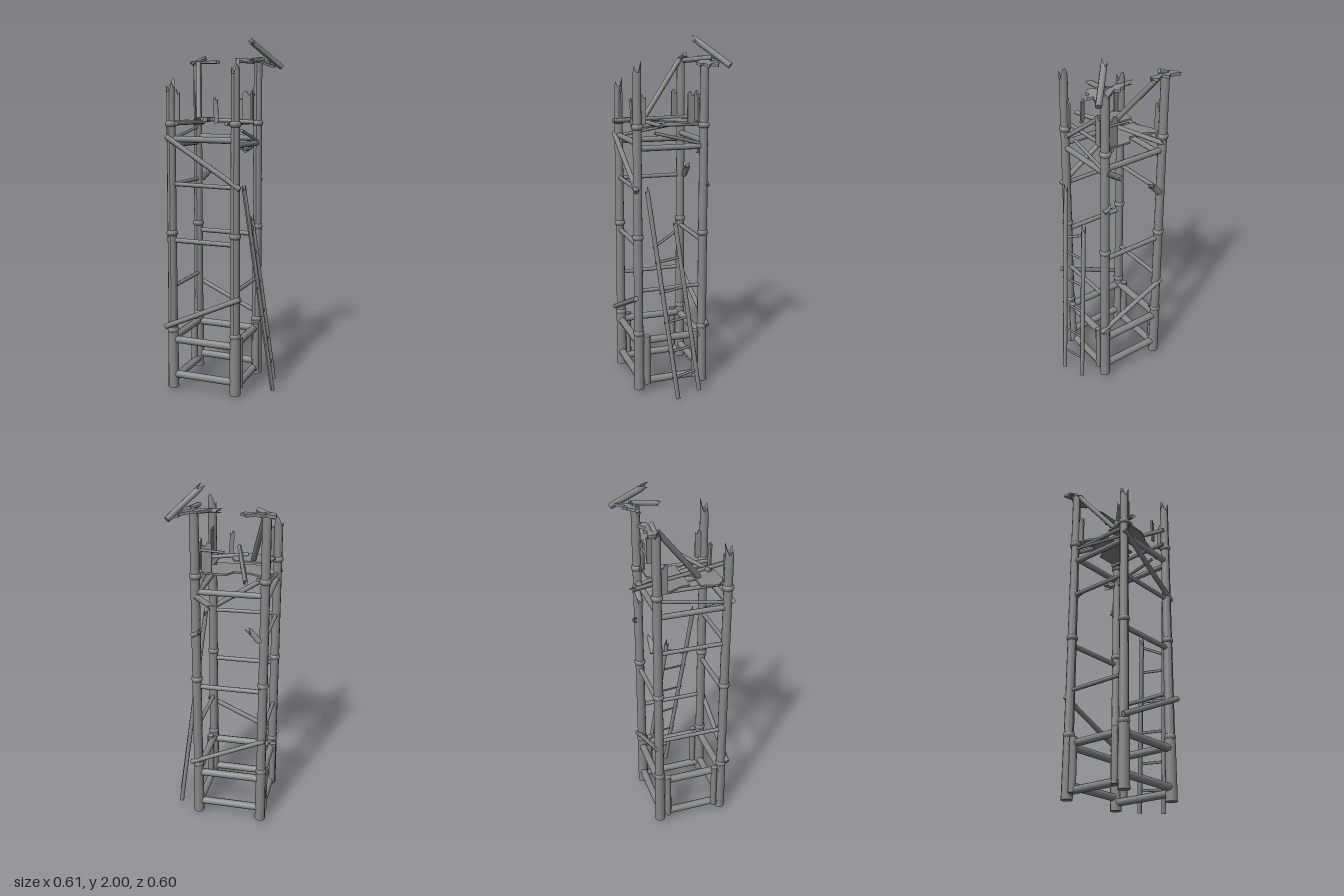
import * as THREE from 'three';

const mat = new THREE.MeshStandardMaterial({ color: 0x888888, side: THREE.DoubleSide });
const V = (p) => new THREE.Vector3(...p);
const UP = new THREE.Vector3(0, 1, 0);

export function createModel() {
  const root = new THREE.Group();

  const add = (name, geo) => {
    const m = new THREE.Mesh(geo, mat);
    m.name = name;
    root.add(m);
    return m;
  };

  // Round pole from a to b; "jag" pulls the end at b into splintered teeth
  const pole = (name, a, b, r, { r2 = r, jag = 0, sides = 8 } = {}) => {
    const d = V(b).sub(V(a)), len = d.length();
    const geo = new THREE.CylinderGeometry(r2, r, len, sides, 1);
    if (jag) {
      const p = geo.attributes.position;
      for (let i = 0; i < p.count; i++) {
        if (p.getY(i) < len / 2 - 1e-4) continue;
        const x = p.getX(i), z = p.getZ(i);
        const k = Math.round((Math.atan2(z, x) / (Math.PI * 2)) * sides + sides) % sides;
        const rim = Math.hypot(x, z) > r2 * 0.5;
        p.setY(i, len / 2 - (rim ? jag * ((k * 5) % 8) / 7 : jag));
      }
      geo.computeVertexNormals();
    }
    const m = add(name, geo);
    m.position.copy(V(a).add(V(b)).multiplyScalar(0.5));
    m.quaternion.setFromUnitVectors(UP, d.normalize());
    return m;
  };

  // Flat plate from an outline of [x, z] points, top surface at y, sloping along x from the first point
  const plate = (name, pts, y, t = 0.01, slope = 0) => {
    const shape = new THREE.Shape(pts.map(([x, z]) => new THREE.Vector2(x, -z)));
    const geo = new THREE.ExtrudeGeometry(shape, { depth: t, bevelEnabled: false });
    geo.rotateX(-Math.PI / 2);
    geo.translate(0, y - t, 0);
    const p = geo.attributes.position;
    for (let i = 0; i < p.count; i++) p.setY(i, p.getY(i) + slope * (p.getX(i) - pts[0][0]));
    geo.computeVertexNormals();
    add(name, geo);
  };

  // Upright board with a splintered top edge
  const board = (name, x, z, w, y0, y1, turn, lean = 0) => {
    const h = y1 - y0;
    const s = new THREE.Shape();
    s.moveTo(-w / 2, 0); s.lineTo(w / 2, 0); s.lineTo(w / 2, h * 0.9);
    s.lineTo(w * 0.2, h * 0.84); s.lineTo(-w * 0.1, h); s.lineTo(-w / 2, h * 0.93);
    const m = add(name, new THREE.ExtrudeGeometry(s, { depth: 0.01, bevelEnabled: false }));
    m.position.set(x, y0, z);
    m.rotation.set(0, turn, lean);
  };

  const XL = -0.25, XR = 0.125, ZF = 0.2, ZB = -0.182;

  // Corner posts with rounded binding rings
  for (const [x, z, top, jag] of [[XL, ZF, 1.77, 0.07], [XR, ZF, 1.87, 0.08], [XL, ZB, 1.89, 0.03], [XR, ZB, 1.9, 0.03]]) {
    pole('cornerPostBase', [x, 0.02, z], [x, 0.36, z], 0.031, { sides: 10, r2: 0.029 });
    pole('cornerPost', [x, 0.34, z], [x, top, z], 0.027, { r2: 0.024, sides: 10, jag });
    for (const y of [0.36, 0.92, 1.525]) {
      const ring = add('bindingRing', new THREE.TorusGeometry(0.019, 0.014, 8, 12));
      ring.position.set(x, y, z);
      ring.rotation.x = Math.PI / 2;
      ring.scale.z = 1.3;
    }
  }

  // Horizontal beams on the front and back faces
  for (const z of [ZF, ZB])
    for (const [y, r] of [[0.3, 0.022], [0.095, 0.022], [0.875, 0.014], [1.44, 0.017]])
      pole('crossBeam', [XL, y + 0.003, z], [XR, y - 0.003, z], r);
  pole('crossBeam', [XL, 1.195, ZF], [XR, 1.185, ZF], 0.012);

  // Horizontal beams on the two sides
  for (const x of [XL, XR]) {
    for (const [y, r] of [[0.31, 0.022], [0.065, 0.022], [0.61, 0.012], [1.41, 0.016]])
      pole('sideBeam', [x, y, ZF], [x, y, ZB], r);
    for (const z of [0.155, -0.135])
      pole('footStake', [x + Math.sign(x) * 0.012, 0.05, z], [x + Math.sign(x) * 0.012, 0.34, z], 0.02);
  }
  pole('sideBeam', [XL, 1.19, ZF], [XL, 1.19, ZB], 0.012);
  pole('sideBrace', [XL, 1.44, ZF], [XL, 1.5, ZB], 0.009);
  pole('sideBrace', [XR, 1.49, 0.1], [XR, 1.42, ZB], 0.009);

  // Diagonal braces
  pole('frontBrace', [-0.285, 0.38, 0.226], [0.165, 0.58, 0.226], 0.015);
  pole('backBrace', [0.165, 0.37, -0.201], [-0.27, 0.575, -0.201], 0.014);
  pole('upperFrontBrace', [-0.27, 1.455, 0.222], [0.155, 1.18, 0.212], 0.015);

  // Snapped brace stubs
  pole('brokenStub', [0.125, 1.42, -0.195], [0.02, 1.35, -0.19], 0.017, { jag: 0.05 });
  pole('brokenStub', [-0.23, 1.19, -0.2], [-0.155, 1.27, -0.2], 0.017, { jag: 0.05 });
  pole('brokenStub', [0.145, 1.19, -0.2], [0.09, 1.22, -0.2], 0.014, { jag: 0.03 });

  // Broken platform floor on two joists
  plate('rearFloor', [[-0.24, -0.17], [-0.16, -0.13], [-0.07, -0.125], [-0.04, -0.175], [0.11, -0.175], [0.12, -0.1],
    [0.07, -0.035], [0.045, -0.035], [0.045, 0.01], [-0.2, 0.01], [-0.2, -0.03], [-0.25, -0.13]], 1.545);
  plate('frontFloor', [[-0.225, 0.06], [-0.03, 0.06], [-0.013, 0.1], [-0.013, 0.16], [-0.09, 0.195],
    [-0.2, 0.195], [-0.245, 0.15]], 1.545);
  for (const x of [-0.21, 0.08]) pole('joist', [x, 1.528, 0.22], [x, 1.528, -0.18], 0.011);
  pole('loosePole', [-0.01, 1.55, 0.295], [-0.17, 1.545, -0.298], 0.013, { jag: 0.03 });
  pole('loosePole', [-0.09, 1.55, 0.16], [0.19, 1.535, 0.085], 0.012);

  // Remains of the railing
  board('railBoard', 0.065, -0.17, 0.055, 1.54, 1.71, 0);
  board('railBoard', 0.11, -0.11, 0.04, 1.54, 1.71, Math.PI / 2);
  board('railBoard', 0.115, 0.165, 0.035, 1.54, 1.7, 1.4);
  board('railBoard', 0.015, 0.19, 0.025, 1.53, 1.67, 0.2, 0.05);
  board('railBoard', -0.215, 0.19, 0.03, 1.54, 1.71, 0.1);
  board('railBoard', -0.25, -0.14, 0.035, 1.54, 1.7, Math.PI / 2);
  pole('railBar', [-0.03, 1.66, -0.17], [0.1, 1.665, -0.17], 0.007, { sides: 6 });

  // Fallen roof strut
  pole('roofStrut', [-0.24, 1.87, -0.17], [-0.135, 1.55, 0.08], 0.015);

  // Shattered roof edge on the rear posts
  plate('roofShardLeft', [[-0.305, -0.24], [-0.25, -0.225], [-0.23, -0.24], [-0.2, -0.215], [-0.155, -0.245], [-0.14, -0.22],
    [-0.125, -0.225], [-0.14, -0.195], [-0.19, -0.2], [-0.22, -0.185], [-0.26, -0.17], [-0.3, -0.195]], 1.885, 0.016);
  pole('roofTie', [-0.2, 1.9, -0.19], [-0.3, 1.86, -0.19], 0.013, { jag: 0.03 });
  plate('roofShardRight', [[0.02, -0.2], [0.06, -0.245], [0.075, -0.235], [0.09, -0.26], [0.11, -0.235], [0.175, -0.28],
    [0.17, -0.24], [0.13, -0.195], [0.1, -0.205], [0.07, -0.19], [0.045, -0.2]], 1.895, 0.014, -0.1);
  plate('roofShardSide', [[0.13, -0.19], [0.18, -0.2], [0.19, -0.24], [0.215, -0.225], [0.2, -0.19], [0.225, -0.17],
    [0.195, -0.15], [0.205, -0.13], [0.18, -0.11], [0.16, -0.14]], 1.885, 0.014, -0.4);
  pole('roofTie', [0.145, 1.885, -0.21], [0.13, 1.87, -0.04], 0.014, { jag: 0.03 });
  pole('roofTie', [0.13, 1.87, -0.19], [-0.03, 1.885, -0.2], 0.012, { jag: 0.04 });
  pole('tiltedRafter', [0.235, 1.845, -0.285], [0.085, 1.995, -0.12], 0.017, { jag: 0.06 });

  // Leaning ladder with two broken rails
  const railA = [V([0.29, 0.005, 0.02]), V([0.155, 1.21, 0.158])];
  const railB = [V([0.255, 0.02, -0.12]), V([0.148, 1.02, -0.005])];
  const at = ([a, b], y) => a.clone().lerp(b, (y - a.y) / (b.y - a.y));
  for (const [a, b] of [railA, railB])
    pole('ladderRail', a.toArray(), b.toArray(), 0.013, { jag: 0.06 });
  // Thin flat rungs that poke out past the rails
  for (const [ya, yb] of [[0.13, 0.14], [0.28, 0.285], [0.45, 0.455], [0.62, 0.63], [0.79, 0.8], [0.88, 0.95]]) {
    const a = at(railA, ya), b = at(railB, yb);
    const rung = pole('ladderRung', a.clone().lerp(b, -0.12).toArray(), b.clone().lerp(a, -0.08).toArray(), 0.008, { sides: 6 });
    rung.scale.x = 0.4;
  }

  return root;
}
